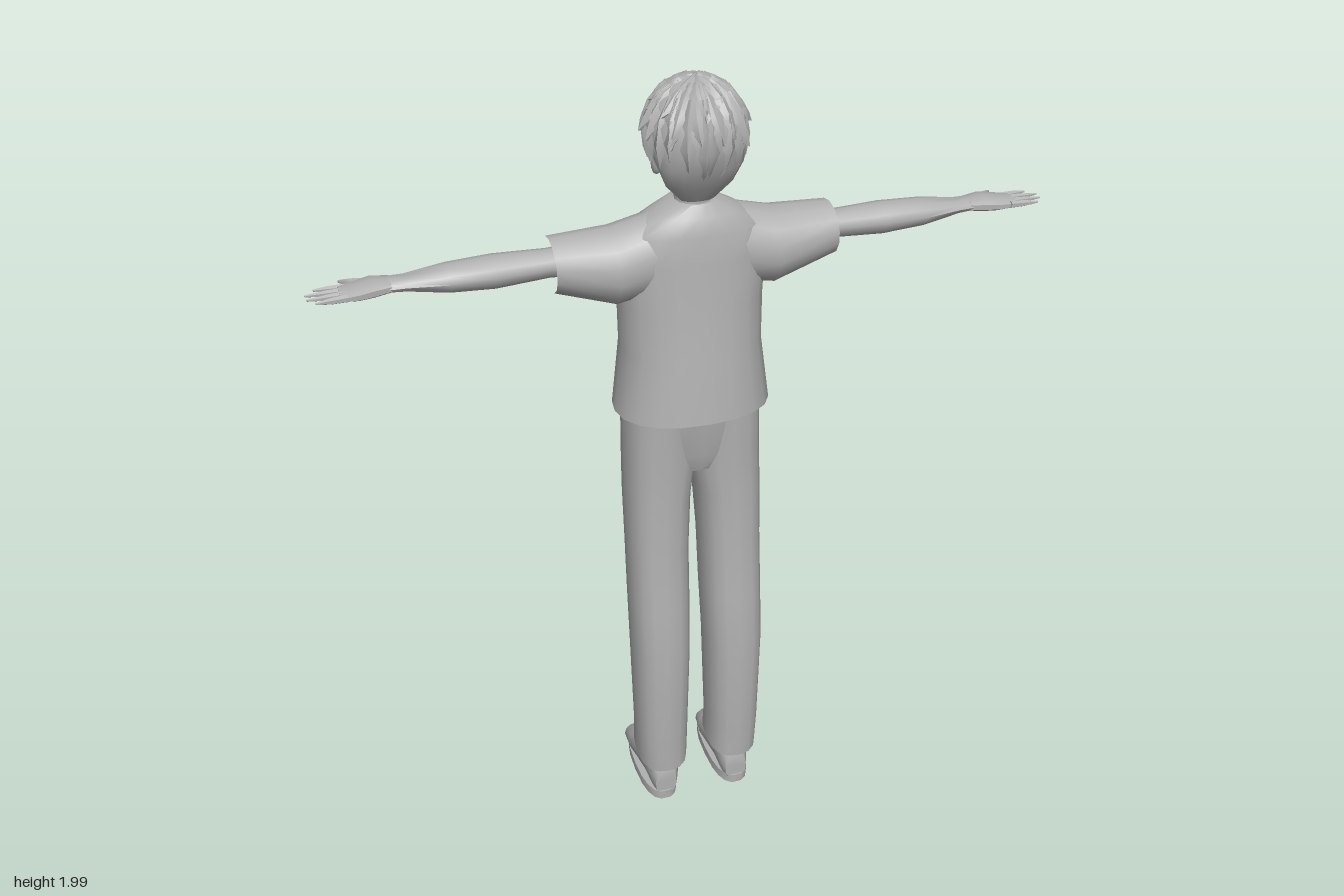
import * as THREE from 'three';
import { mergeGeometries, toCreasedNormals } from 'three/addons/utils/BufferGeometryUtils.js';

const grey = new THREE.MeshStandardMaterial({ color: 0xb0b0b0 });
grey.name = 'plain grey';

// Rounded cross-section square to an axis; a and b are the extents on the other two axes.
function ring(axis, pos, a0, a1, b0, b1, n = 16, power = 2.3, tilt = 0) {
  const pts = [];
  const bend = v => Math.sign(v) * Math.abs(v) ** (2 / power);
  for (let i = 0; i < n; i++) {
    const t = (i / n) * Math.PI * 2;
    const a = (a0 + a1) / 2 + bend(Math.cos(t)) * (a1 - a0) / 2;
    const b = (b0 + b1) / 2 + bend(Math.sin(t)) * (b1 - b0) / 2;
    if (axis === 'x') pts.push(new THREE.Vector3(pos, a, b));
    else if (axis === 'y') pts.push(new THREE.Vector3(a, pos + tilt * b, b));
    else pts.push(new THREE.Vector3(a, b, pos));
  }
  return pts;
}

// Skin through rings, turned outward whatever the ring order; side = -1 mirrors it in x.
function loft(rings, { capStart = true, capEnd = true, side = 1 } = {}) {
  const n = rings[0].length, pts = rings.flat().map(p => p.clone());
  pts.forEach(p => { p.x *= side; });
  const mid = pts.reduce((m, p) => m.add(p), new THREE.Vector3()).divideScalar(pts.length);
  const index = [];
  for (let r = 0; r < rings.length - 1; r++) {
    for (let i = 0; i < n; i++) {
      const a = r * n + i, b = r * n + (i + 1) % n;
      index.push(a, b, a + n, b, b + n, a + n);
    }
  }
  const last = (rings.length - 1) * n;
  for (let i = 1; i < n - 1; i++) {
    if (capStart) index.push(0, i + 1, i);
    if (capEnd) index.push(last, last + i, last + i + 1);
  }
  let volume = 0;
  for (let i = 0; i < index.length; i += 3) {
    const [a, b, c] = [0, 1, 2].map(k => pts[index[i + k]].clone().sub(mid));
    volume += a.dot(b.cross(c));
  }
  if (volume < 0) index.reverse();
  const g = new THREE.BufferGeometry().setFromPoints(pts);
  g.setIndex(index);
  return toCreasedNormals(g, 0.75);
}

function seeded(seed) {
  return () => (seed = (seed * 16807) % 2147483647) / 2147483647;
}

export function createModel() {
  const model = new THREE.Group();
  const add = (name, geometry, parent = model) => {
    const mesh = new THREE.Mesh(geometry, grey);
    mesh.name = name;
    parent.add(mesh);
    return mesh;
  };

  // Shirt body: height, half width, front z, back z, hem tilt
  add('shirtBody', loft([
    [1.185, 0.185, -0.16, 0.14, 0.1], [1.35, 0.165, -0.15, 0.122, 0.03], [1.47, 0.168, -0.135, 0.105],
    [1.58, 0.172, -0.1, 0.097], [1.645, 0.16, -0.078, 0.09], [1.685, 0.1, -0.055, 0.08], [1.71, 0.05, -0.043, 0.06],
  ].map(([y, w, f, b, tilt]) => ring('y', y, -w, w, f, b, 20, 2.3, tilt)), { capStart: false }));
  const placket = add('placket', new THREE.BoxGeometry(0.05, 0.09, 0.006));
  placket.position.set(0, 1.645, -0.083);
  placket.rotation.x = 0.5;

  // Trouser seat joining the legs
  add('trouserSeat', loft([
    [1.03, 0.06, -0.07, 0.07], [1.08, 0.15, -0.1, 0.085], [1.22, 0.163, -0.125, 0.095],
  ].map(([y, w, f, b]) => ring('y', y, -w, w, f, b, 20, 2.6))));

  for (const side of [1, -1]) {
    const label = side > 0 ? 'left' : 'right';
    const group = new THREE.Group();
    group.name = label + 'Limbs';
    model.add(group);

    // Sleeve: x, bottom, top, front, back
    add('sleeve', loft([
      [0.08, 1.5, 1.69, -0.06, 0.08], [0.185, 1.48, 1.66, -0.076, 0.085], [0.325, 1.53, 1.652, -0.066, 0.076],
    ].map(([x, ...e]) => ring('x', x, ...e, 14, 2)), { capStart: false, capEnd: false, side }), group);

    // Arm and palm
    add('arm', loft([
      [0.2, 1.555, 1.635, -0.035, 0.045], [0.33, 1.565, 1.628, -0.03, 0.042], [0.45, 1.56, 1.634, -0.032, 0.052],
      [0.55, 1.568, 1.63, -0.028, 0.054], [0.64, 1.582, 1.615, -0.022, 0.038], [0.68, 1.584, 1.612, -0.026, 0.034],
    ].map(([x, ...e]) => ring('x', x, ...e, 12, 2)), { side }), group);
    add('palm', loft([
      [0.67, 1.585, 1.612, -0.024, 0.034], [0.71, 1.58, 1.614, -0.036, 0.042], [0.74, 1.582, 1.612, -0.026, 0.05],
      [0.78, 1.589, 1.607, -0.014, 0.052],
    ].map(([x, ...e]) => ring('x', x, ...e, 10, 2.4)), { side }), group);

    // Four fingers fanned across the palm, and a thumb toward the front
    [0.83, 0.85, 0.848, 0.832].forEach((tip, i) => {
      const z = -0.006 + i * 0.017, spread = (i - 1.5) * 0.004;
      add('finger' + (i + 1), loft([[0.765, 0, 0.009], [0.8, 0.5, 0.0075], [tip, 1, 0.0025]].map(([x, k, r]) =>
        ring('x', x, 1.599 - r, 1.599 + r, z + spread * k - r, z + spread * k + r, 6, 2))
      , { side }), group);
    });
    add('thumb', loft([[0.7, -0.018, 0.014], [0.735, -0.042, 0.012], [0.755, -0.06, 0.008], [0.772, -0.078, 0.003]]
      .map(([x, z, r], i) => ring('x', x, 1.592 - i * 0.004 - r, 1.592 - i * 0.004 + r, z - r, z + r, 6, 2))
    , { side }), group);

    // Trouser leg: height, inner x, outer x, front, back, hem tilt
    add('trouserLeg', loft([
      [0.138, 0.032, 0.162, -0.058, 0.113, -0.18], [0.22, 0.031, 0.164, -0.042, 0.115, -0.05],
      [0.5, 0.024, 0.169, -0.054, 0.123], [0.65, 0.02, 0.169, -0.068, 0.108], [0.8, 0.018, 0.168, -0.083, 0.095],
      [0.95, 0.01, 0.168, -0.1, 0.09], [1.05, -0.005, 0.166, -0.11, 0.088], [1.2, -0.005, 0.162, -0.122, 0.092],
    ].map(([y, i, o, f, b, tilt]) => ring('y', y, i, o, f, b, 16, 2.5, tilt)), { capStart: false, side }), group);

    // Shoe: z, inner x, outer x, bottom, top
    add('shoe', loft([
      [0.088, 0.07, 0.128, 0.012, 0.1], [0.07, 0.06, 0.135, 0.01, 0.135], [0.01, 0.06, 0.138, 0.01, 0.145],
      [-0.05, 0.055, 0.145, 0.01, 0.125], [-0.1, 0.053, 0.15, 0.01, 0.09], [-0.145, 0.06, 0.148, 0.01, 0.068],
      [-0.165, 0.075, 0.137, 0.012, 0.05],
    ].map(([z, ...e]) => ring('z', z, ...e, 14, 2.6)), { side }), group);
    add('sole', loft([0.004, 0.03].map(y => ring('y', y - 0.004, 0.052, 0.15, -0.172, 0.094, 18, 2.6)), { side }), group);
    add('ankle', new THREE.CylinderGeometry(0.034, 0.038, 0.14, 10), group).position.set(side * 0.1, 0.19, 0.03);
    [[-0.06, 0.121], [-0.085, 0.105], [-0.11, 0.085]].forEach(([z, y]) => {
      const lace = add('lace', new THREE.BoxGeometry(0.055, 0.008, 0.012), group);
      lace.position.set(side * 0.1, y, z);
      lace.rotation.x = -0.65;
    });
  }

  // Neck and head
  add('neck', loft([
    [1.67, 0.05, -0.04, 0.06], [1.72, 0.042, -0.03, 0.055], [1.8, 0.045, -0.02, 0.065],
  ].map(([y, w, f, b]) => ring('y', y, -w, w, f, b, 12, 2))));
  add('head', loft([
    [1.713, 0.016, -0.078, -0.04], [1.727, 0.038, -0.086, -0.01], [1.755, 0.062, -0.09, 0.05], [1.79, 0.078, -0.092, 0.09],
    [1.85, 0.09, -0.09, 0.115], [1.92, 0.085, -0.075, 0.11], [1.96, 0.05, -0.04, 0.07],
  ].map(([y, w, f, b]) => ring('y', y, -w, w, f, b, 18, 2.1))));
  add('nose', loft([
    [1.758, 0.009, -0.096], [1.766, 0.011, -0.106], [1.81, 0.005, -0.092],
  ].map(([y, w, f]) => ring('y', y, -w, w, f, -0.08, 6, 2))));
  for (const side of [1, -1]) {
    const ear = add('ear', new THREE.SphereGeometry(0.024, 8, 6));
    ear.scale.set(0.5, 1.2, 0.8);
    ear.position.set(side * 0.086, 1.805, 0.02);
  }

  // Hair cap, reaching down to the nape at the back
  add('hairCap', loft([
    [1.72, 0.04, 0.02, 0.065], [1.76, 0.075, 0.015, 0.095], [1.81, 0.096, 0, 0.125], [1.85, 0.106, -0.085, 0.137],
    [1.9, 0.108, -0.09, 0.138], [1.945, 0.088, -0.068, 0.112], [1.975, 0.053, -0.033, 0.075], [1.987, 0.02, 0.0, 0.04],
  ].map(([y, w, f, b]) => ring('y', y, -w, w, f, b, 20, 2))));

  // Pointed locks swept from the crown over the head; angle 0 is the back
  const random = seeded(77);
  const onHead = (angle, t, lift) => new THREE.Vector3(
    (0.108 + lift) * Math.sin(t) * Math.sin(angle),
    1.873 + (0.112 + lift * 0.6) * Math.cos(t),
    0.024 + (0.116 + lift) * Math.sin(t) * Math.cos(angle));
  const lock = (angle, start, end, width, flick) => {
    const sway = (random() - 0.5) * 0.35;
    return loft([0, 0.3, 0.6, 0.85, 1].map(k => {
      const t = start + (end - start) * k, a = angle + sway * k * k;
      const half = width * [0.3, 0.9, 1, 0.55, 0.04][Math.round(k * 4)];
      const lift = flick * k ** 3;
      const across = new THREE.Vector3(Math.cos(a), 0, -Math.sin(a)).multiplyScalar(half);
      const base = onHead(a, t, lift - 0.006);
      return [base.clone().sub(across), onHead(a, t, lift + 0.009 * (1 - k * 0.8)), base.clone().add(across)];
    }));
  };
  const locks = [];
  for (const [count, start, end, width, flick] of [
    [13, 0.05, 1.1, 0.02, 0.008], [18, 0.3, 1.65, 0.021, 0.014], [22, 0.7, 2.2, 0.018, 0.016],
  ]) {
    for (let i = 0; i < count; i++) {
      const angle = ((i + random() * 0.6) / count) * Math.PI * 2;
      const drop = count === 22 ? 0.2 * Math.cos(angle) : 0;
      locks.push(lock(angle, start, end + drop + (random() - 0.5) * 0.3, width, flick * (0.4 + random())));
    }
  }
  add('hairLocks', mergeGeometries(locks));

  return model;
}
